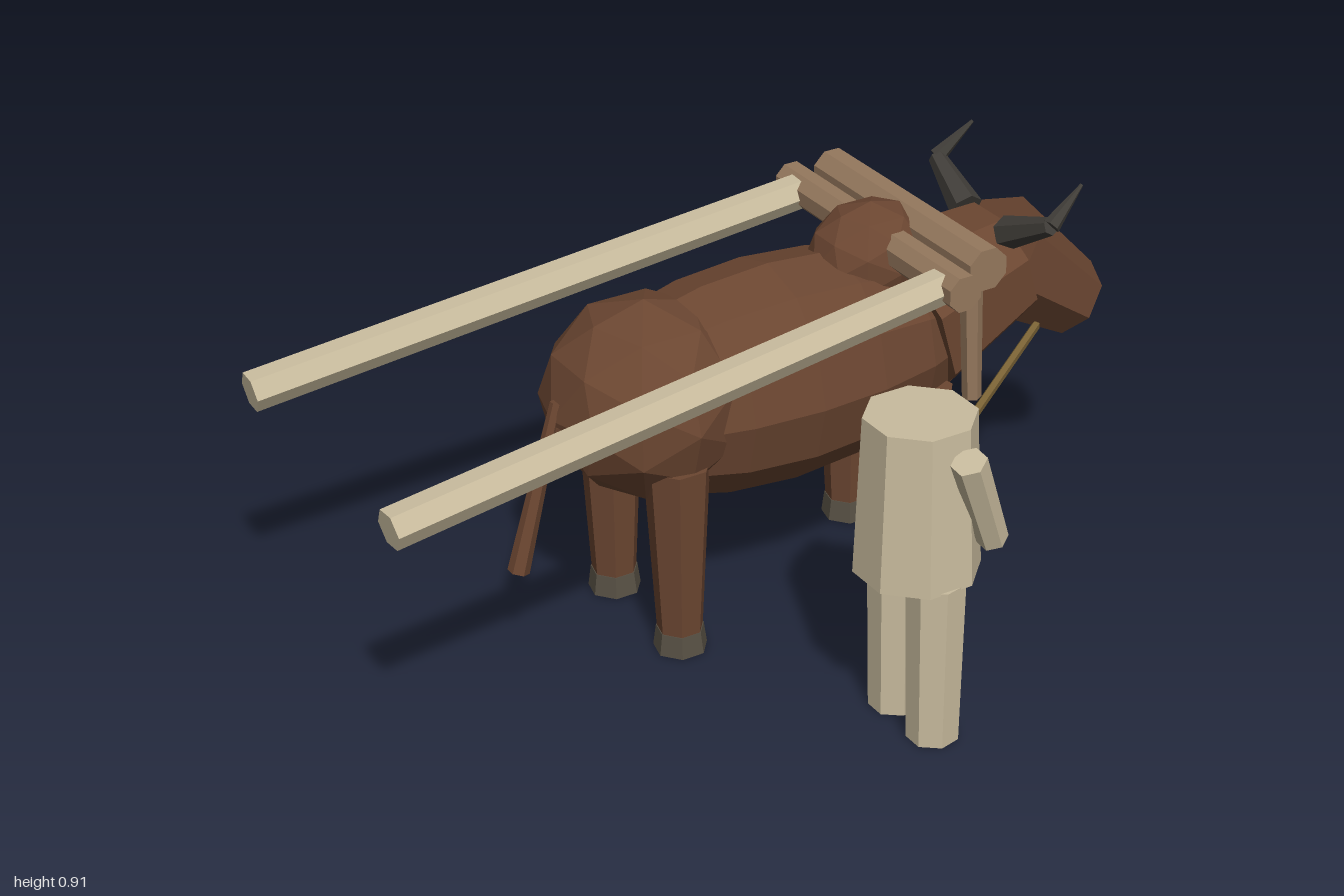
import * as THREE from 'three';

const material = (name, color) => {
  const m = new THREE.MeshStandardMaterial({ color });
  m.name = name;
  return m;
};

export function createModel() {
  const model = new THREE.Group();
  model.name = 'oxWithHandler';
  const hide = material('brown hide', 0x6b4631);
  const hoofGrey = material('hoof grey', 0x575044);
  const hornDark = material('dark horn', 0x403d38);
  const yokeWood = material('yoke wood', 0x95785d);
  const pale = material('pale straw', 0xc9bc9e);
  const ropeTan = material('rope tan', 0x7d6536);

  // Faceted mesh: unshared corners give flat faces
  function add(parent, name, geometry, mat) {
    const g = geometry.index ? geometry.toNonIndexed() : geometry;
    g.computeVertexNormals();
    const mesh = new THREE.Mesh(g, mat);
    mesh.name = name;
    parent.add(mesh);
    return mesh;
  }

  // Tapered prism between two points
  function rod(parent, name, a, b, ra, rb, sides, mat, spin = 0) {
    const from = new THREE.Vector3(...a), to = new THREE.Vector3(...b);
    const dir = to.clone().sub(from);
    const g = new THREE.CylinderGeometry(rb, ra, dir.length(), sides);
    g.rotateY(spin);
    const mesh = add(parent, name, g, mat);
    mesh.position.copy(from).add(to).multiplyScalar(0.5);
    mesh.quaternion.setFromUnitVectors(new THREE.Vector3(0, 1, 0), dir.normalize());
    return mesh;
  }

  function blob(parent, name, center, radii, geometry) {
    geometry.scale(...radii);
    add(parent, name, geometry, hide).position.set(...center);
  }

  // Ox, built around its own centre plane
  const ox = new THREE.Group();
  ox.name = 'ox';
  ox.position.z = -0.23;
  model.add(ox);
  const barrel = new THREE.SphereGeometry(1, 12, 10);
  barrel.rotateZ(-Math.PI / 2);
  blob(ox, 'body', [0.1, 0.545, 0], [0.55, 0.26, 0.24], barrel);
  blob(ox, 'rump', [-0.215, 0.57, 0], [0.235, 0.23, 0.24], new THREE.IcosahedronGeometry(1, 1));
  blob(ox, 'hump', [0.37, 0.76, 0], [0.15, 0.128, 0.13], new THREE.IcosahedronGeometry(1, 1));
  rod(ox, 'neck', [0.46, 0.58, 0], [0.73, 0.655, 0], 0.205, 0.145, 8, hide, Math.PI / 8);
  rod(ox, 'head', [0.705, 0.68, 0], [0.943, 0.502, 0], 0.145, 0.095, 7, hide, -Math.PI / 2);
  rod(ox, 'tail', [-0.435, 0.61, 0], [-0.545, 0.22, 0], 0.014, 0.025, 6, hide);

  for (const s of [1, -1]) {
    // Horns sweep outward, then forward and up
    const elbow = [0.705, 0.832, s * 0.225];
    rod(ox, 'hornBase', [0.69, 0.762, s * 0.08], elbow, 0.04, 0.021, 6, hornDark);
    rod(ox, 'hornTip', elbow, [0.795, 0.907, s * 0.212], 0.021, 0.004, 6, hornDark);

    // Legs and hooves
    for (const [x, end] of [[0.415, 'front'], [-0.225, 'hind']]) {
      const z = s * 0.15;
      rod(ox, end + 'Leg', [x, 0.05, z], [x, 0.47, z], 0.053, 0.076, 7, hide, Math.PI);
      rod(ox, end + 'Hoof', [x, 0, z], [x, 0.052, z], 0.062, 0.055, 7, hoofGrey, Math.PI);
    }

    // Shafts and yoke pins
    rod(ox, 'shaft', [-0.995, 0.64, s * 0.34], [0.38, 0.803, s * 0.29], 0.045, 0.041, 6, pale);
    rod(ox, 'yokePin', [0.485, 0.475, s * 0.248], [0.47, 0.82, s * 0.25], 0.022, 0.027, 6, yokeWood);
  }

  // Crossbars of the yoke
  rod(ox, 'rearCrossbar', [0.383, 0.803, -0.355], [0.383, 0.803, 0.355], 0.044, 0.044, 8, yokeWood, Math.PI / 8);
  rod(ox, 'frontCrossbar', [0.47, 0.823, -0.315], [0.47, 0.823, 0.315], 0.052, 0.052, 8, yokeWood, Math.PI / 8);

  // Handler standing beside the ox
  const handler = new THREE.Group();
  handler.name = 'handler';
  handler.position.set(0.055, 0, 0.435);
  model.add(handler);
  rod(handler, 'torso', [0, 0.385, 0], [0, 0.75, 0], 0.138, 0.122, 8, pale, Math.PI / 8);
  for (const s of [1, -1]) {
    rod(handler, 'leg', [0, 0, s * 0.073], [0, 0.39, s * 0.073], 0.058, 0.065, 7, pale, Math.PI / 2);
    rod(handler, 'arm', [0.11, 0.475, s * 0.115], [0.02, 0.7, s * 0.147], 0.034, 0.039, 6, pale);
  }

  // Lead rope from hand to muzzle
  rod(model, 'leadRope', [0.16, 0.466, 0.295], [0.8, 0.488, -0.17], 0.011, 0.011, 5, ropeTan);

  return model;
}
